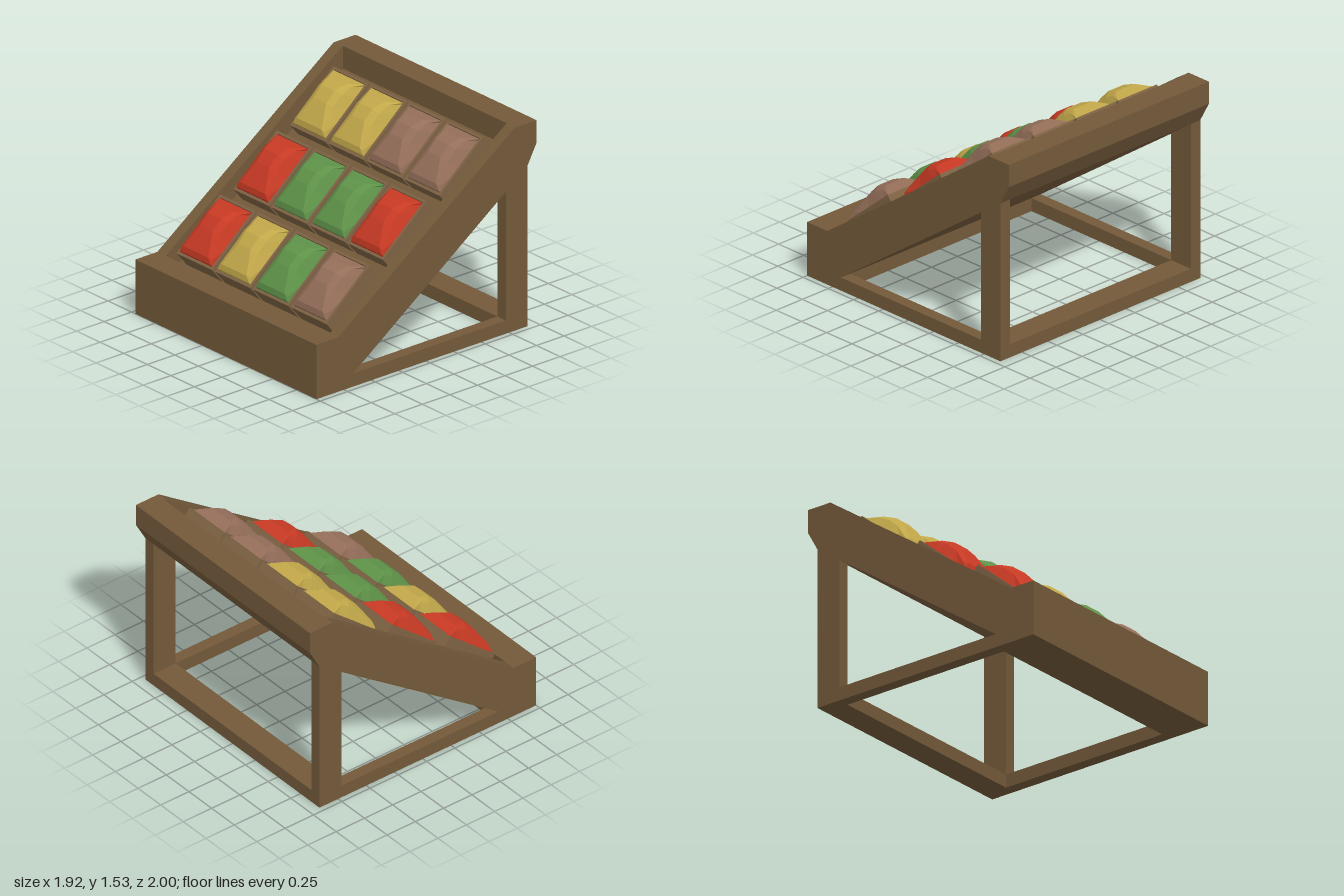
import * as THREE from 'three';

const WOOD = 0x73593a, CRATE = 0x7d6243;
const RED = 0xc83a24, YELLOW = 0xc2a84a, GREEN = 0x5f9349, BROWN = 0x956f5a;

const material = (color, side = THREE.FrontSide) =>
  new THREE.MeshStandardMaterial({ color, side, flatShading: true });

function addMesh(parent, name, geometry, mat) {
  const mesh = new THREE.Mesh(geometry, mat);
  mesh.name = name;
  parent.add(mesh);
  return mesh;
}

// Extrudes a side profile of [z, y] points across the width from x0 to x1
function sideExtrude(points, x0, x1, hole) {
  const toVec = ([z, y]) => new THREE.Vector2(-z, y);
  const shape = new THREE.Shape(points.map(toVec));
  if (hole) shape.holes.push(new THREE.Path(hole.map(toVec)));
  return new THREE.ExtrudeGeometry(shape, { depth: x1 - x0, bevelEnabled: false })
    .rotateY(Math.PI / 2).translate(x0, 0, 0);
}

function box(w, h, d, x, y, z) {
  return new THREE.BoxGeometry(w, h, d).translate(x, y, z);
}

// Faceted mound lofted through stations running down the crate:
// [distance, crest height, crest half width, shoulder half width, shoulder height]
function moundGeometry() {
  const half = 0.168, base = -0.03;
  const stations = [
    [0.02, base, half, half, base],
    [0.025, 0.0, 0.166, half, 0.0],
    [0.098, 0.075, 0.09, 0.125, 0.055],
    [0.188, 0.108, 0.07, 0.12, 0.075],
    [0.29, 0.098, 0.067, 0.12, 0.07],
    [0.46, 0.043, 0.13, 0.16, 0.03],
    [0.492, 0.012, 0.166, half, 0.01],
    [0.495, base, half, half, base],
  ];
  const positions = [], index = [];
  for (const [z, top, w, shoulder, mid] of stations)
    positions.push(-half, base, z, -shoulder, mid, z, -w, top, z,
      w, top, z, shoulder, mid, z, half, base, z);
  for (let s = 0; s < stations.length - 1; s++)
    for (let i = 0; i < 5; i++) {
      const a = s * 6 + i, b = a + 6;
      index.push(a, b, a + 1, a + 1, b, b + 1);
    }
  const g = new THREE.BufferGeometry();
  g.setAttribute('position', new THREE.Float32BufferAttribute(positions, 3));
  g.setIndex(index);
  g.computeVertexNormals();
  return g;
}

// Open crate whose back top edge lies on the local origin
function createCrate(moundGeo, moundMat, crateMat) {
  const crate = new THREE.Group();
  crate.name = 'crate';
  const w = 0.376, h = 0.163, l = 0.516, t = 0.02;
  for (const s of [-1, 1])
    addMesh(crate, 'crateSide', box(t, h, l, s * (w - t) / 2, -h / 2, l / 2), crateMat);
  for (const z of [t / 2, l - t / 2])
    addMesh(crate, 'crateEnd', box(w - 2 * t, h, t, 0, -h / 2, z), crateMat);
  addMesh(crate, 'crateBottom', box(w - 2 * t, t, l - 2 * t, 0, -h + t / 2, l / 2), crateMat);
  addMesh(crate, 'produce', moundGeo, moundMat);
  return crate;
}

export function createModel() {
  const model = new THREE.Group();
  model.name = 'marketStand';
  const wood = material(WOOD), crateMat = material(CRATE);
  const outer = 0.96, inner = 0.87;

  // Side panels with a triangular opening
  const panel = [[1, 0], [1, 0.41], [0.8, 0.41], [-0.8, 1.53], [-1, 1.53],
    [-1, 1.36], [-0.915, 1.207], [-0.915, 0]];
  const opening = [[0.665, 0.1], [-0.72, 0.1], [-0.72, 1.07]];
  addMesh(model, 'leftPanel', sideExtrude(panel, inner, outer, opening), wood);
  addMesh(model, 'rightPanel', sideExtrude(panel, -outer, -inner, opening), wood);

  // Front block, sunken sloping bed and top beam in one profile
  const bed = [[1, 0], [1, 0.41], [0.8, 0.41], [0.8, 0.24], [-0.81, 1.36], [-0.81, 1.53],
    [-1, 1.53], [-1, 1.36], [-0.915, 1.207], [0.665, 0.1], [0.665, 0]];
  addMesh(model, 'slopingBed', sideExtrude(bed, -inner, inner), wood);

  // Rail along the floor at the back
  addMesh(model, 'backRail', box(inner * 2, 0.1, 0.195, 0, 0.05, -0.8175), wood);

  // Crates: three rows from top to bottom, four columns
  const rows = [
    [YELLOW, YELLOW, BROWN, BROWN],
    [RED, GREEN, GREEN, RED],
    [RED, YELLOW, GREEN, BROWN],
  ];
  const moundGeo = moundGeometry();
  const mats = new Map([RED, YELLOW, GREEN, BROWN].map(c => [c, material(c, THREE.DoubleSide)]));
  rows.forEach((row, r) => row.forEach((color, c) => {
    const crate = createCrate(moundGeo, mats.get(color), crateMat);
    crate.position.set((c - 1.5) * 0.404, 1.447 - r * 0.335, -0.657 + r * 0.515);
    crate.rotation.x = THREE.MathUtils.degToRad(40);
    model.add(crate);
  }));

  return model;
}
